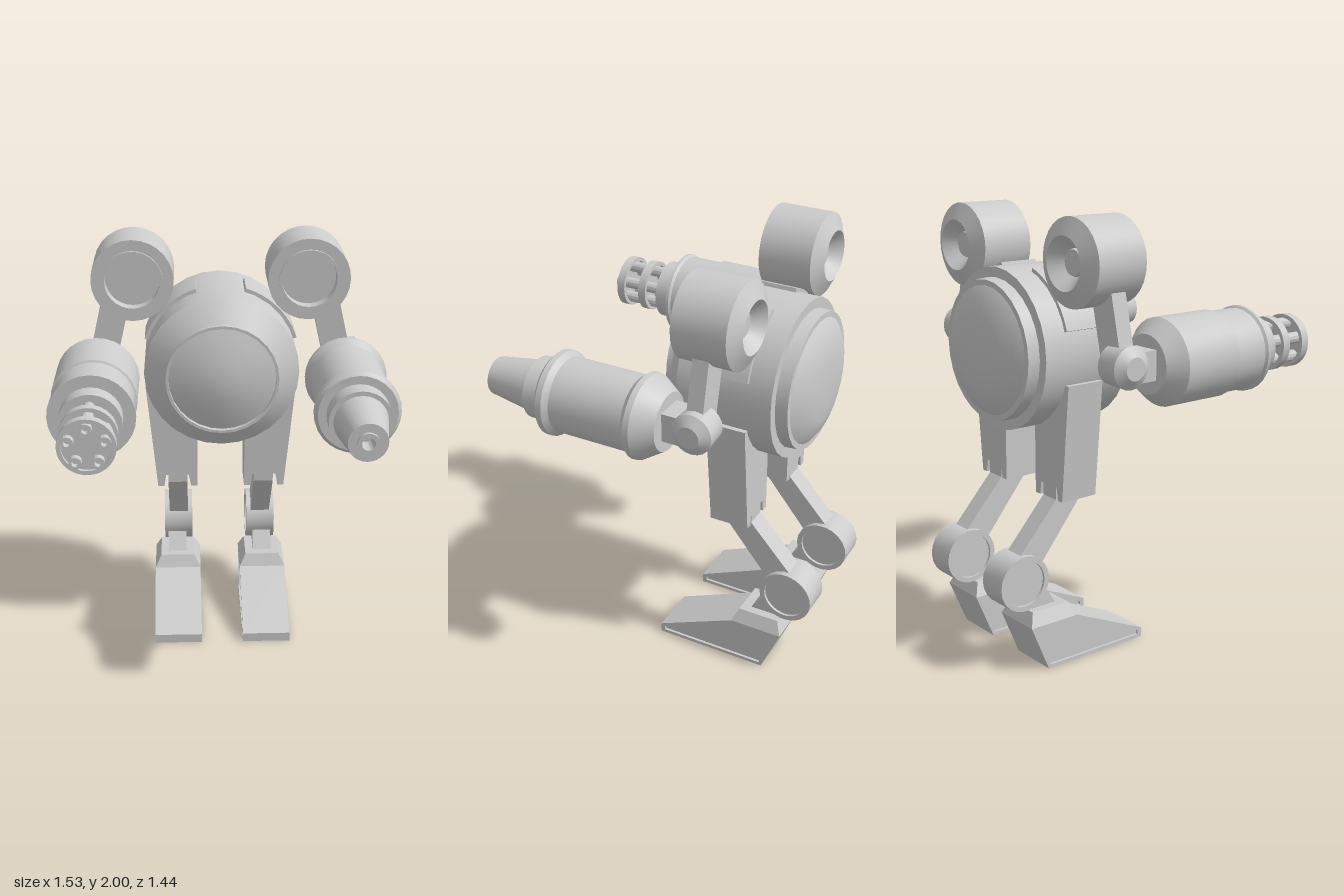
import * as THREE from 'three';
import { toCreasedNormals } from 'three/addons/utils/BufferGeometryUtils.js';

const grey = new THREE.MeshStandardMaterial({ color: 0xcccccc, side: THREE.DoubleSide });

export function createModel() {
  const model = new THREE.Group();

  const add = (name, geometry, x = 0, y = 0, z = 0, parent = model) => {
    const mesh = new THREE.Mesh(geometry, grey);
    mesh.name = name;
    mesh.position.set(x, y, z);
    parent.add(mesh);
    return mesh;
  };
  // Turned part from [radius, distance] pairs, axis along z (or x)
  const turned = (profile, axis = 'z', segments = 28) => {
    const g = new THREE.LatheGeometry(profile.map(p => new THREE.Vector2(...p)), segments);
    if (axis === 'z') g.rotateX(Math.PI / 2); else g.rotateZ(-Math.PI / 2);
    return toCreasedNormals(g, 0.4);
  };
  const shapeOf = pts => new THREE.Shape(pts.map(p => new THREE.Vector2(...p)));
  // Side outline of [z, y] pairs, extruded from x = a to x = b
  const sideSlab = (pts, a, b, hole) => {
    const shape = shapeOf(pts);
    if (hole) shape.holes.push(new THREE.Path(hole.map(p => new THREE.Vector2(...p))));
    return new THREE.ExtrudeGeometry(shape, { depth: b - a, bevelEnabled: false })
      .rotateY(-Math.PI / 2).translate(b, 0, 0);
  };
  // Box whose top face is scaled
  const taperedBox = (w, h, d, sx, sz) => {
    const g = new THREE.BoxGeometry(w, h, d).toNonIndexed(), p = g.attributes.position;
    for (let i = 0; i < p.count; i++)
      if (p.getY(i) > 0) p.setXYZ(i, p.getX(i) * sx, p.getY(i), p.getZ(i) * sz);
    g.computeVertexNormals();
    return g;
  };

  // Body drum with stepped back, domed rear cap and front window
  const bodyY = 1.4;
  add('body', turned([
    [0, -0.52], [0.36, -0.525], [0.36, -0.08], [0.26, 0], [0.26, 0.025],
    [0.247, 0.025], [0.247, 0.0], [0, 0]]), 0, bodyY);
  add('rearCollar', turned([[0, -0.58], [0.31, -0.58], [0.315, -0.51], [0, -0.51]]), 0, bodyY);
  add('rearDome', turned([
    [0, -0.64], [0.09, -0.638], [0.17, -0.632], [0.24, -0.61], [0.285, -0.58], [0, -0.575]]), 0, bodyY);
  add('frontWindow', turned([
    [0.247, 0.003], [0.18, 0.025], [0.085, 0.048], [0, 0.055]]), 0, bodyY);

  for (const s of [1, -1]) {
    const side = s > 0 ? 'left' : 'right';
    const span = (a, b) => s > 0 ? [a, b] : [-b, -a];

    // Curved armour panel on the upper corner of the body
    const mid = s > 0 ? Math.PI / 4 : 3 * Math.PI / 4, half = 0.47;
    const panel = new THREE.Shape();
    panel.absarc(0, 0, 0.376, mid - half, mid + half, false);
    panel.absarc(0, 0, 0.34, mid + half, mid - half, true);
    add(side + 'ShoulderPanel', toCreasedNormals(new THREE.ExtrudeGeometry(panel,
      { depth: 0.185, bevelEnabled: false, curveSegments: 6 }), 0.4), 0, bodyY, -0.415);

    // Leg
    const leg = new THREE.Group();
    leg.name = side + 'Leg';
    model.add(leg);
    const hip = [[0.115, 1.28], [0.115, 0.75], [0.148, 0.75], [0.158, 0.81],
      [0.27, 0.81], [0.28, 0.75], [0.31, 0.75], [0.36, 1.28]].map(([x, y]) => [x * s, y]);
    add('hip', new THREE.ExtrudeGeometry(shapeOf(hip), { depth: 0.185, bevelEnabled: false }),
      0, 0, -0.41, leg);
    add('thigh', sideSlab([[-0.26, 0.83], [-0.26, 0.755], [-0.54, 0.41], [-0.64, 0.49],
      [-0.405, 0.75], [-0.405, 0.83]], ...span(0.165, 0.26)), 0, 0, 0, leg);
    add('knee', turned([[0, -0.06], [0.103, -0.06], [0.103, -0.072], [0.127, -0.072],
      [0.127, 0.072], [0.103, 0.072], [0.103, 0.06], [0, 0.06]], 'x', 22),
      s * 0.214, 0.408, -0.595, leg);
    add('shin', sideSlab([[-0.48, 0.365], [-0.415, 0.265], [-0.54, 0.265], [-0.6, 0.4]],
      ...span(0.175, 0.268)), 0, 0, 0, leg);
    add('ankle', taperedBox(0.234, 0.06, 0.25, 0.74, 0.78), s * 0.22, 0.245, -0.475, leg);

    // Foot: core with a raised border on both sides
    const outline = [[-0.6, 0.215], [-0.35, 0.215], [0.03, 0.045], [0.03, 0], [-0.51, 0]];
    const inset = [[-0.573, 0.198], [-0.355, 0.198], [0.01, 0.034], [0.01, 0.016], [-0.498, 0.016]];
    add('footCore', sideSlab(outline, ...span(0.115, 0.325)), 0, 0, 0, leg);
    add('footInnerRim', sideSlab(outline, ...span(0.103, 0.115), inset), 0, 0, 0, leg);
    add('footOuterRim', sideSlab(outline, ...span(0.325, 0.337), inset), 0, 0, 0, leg);

    // Shoulder pod with recessed front and rear nozzle
    add(side + 'Pod', turned([
      [0, -0.42], [0.055, -0.42], [0.06, -0.405], [0.115, -0.47], [0.19, -0.432], [0.19, -0.185],
      [0.14, -0.185], [0.14, -0.173], [0.127, -0.173], [0.127, -0.23], [0, -0.23]]),
      s * 0.406, 1.81, 0);

    // Arm strut, elbow and wrist
    const strut = add(side + 'Strut', new THREE.BoxGeometry(0.13, 0.31, 0.075), s * 0.528, 1.53, -0.302);
    strut.rotation.z = s * 0.23;
    const elbow = [[0, 0.53], [0.088, 0.535], [0.093, 0.645], [0.05, 0.675], [0, 0.675]];
    add(side + 'Elbow', turned(s > 0 ? elbow : elbow.map(([r, d]) => [r, -d]).reverse(), 'x', 20),
      0, 1.395, -0.305);
    add(side + 'Wrist', new THREE.BoxGeometry(0.13, 0.13, 0.15), s * 0.575, 1.387, -0.21);
  }

  // Left cannon
  const gunY = 1.38, gunX = 0.573;
  add('cannon', turned([
    [0, -0.165], [0.13, -0.165], [0.188, -0.075], [0.19, -0.05], [0.168, -0.025], [0.168, 0.325],
    [0.19, 0.347], [0.19, 0.375], [0.175, 0.39], [0.138, 0.39], [0.138, 0.475],
    [0.118, 0.475], [0.085, 0.695], [0.047, 0.695], [0.047, 0.71], [0.028, 0.71],
    [0.028, 0.62], [0, 0.62]]), gunX, gunY);

  // Right rotary gun: housing, five barrels and two clamp rings
  const rotary = new THREE.Group();
  rotary.name = 'rotaryGun';
  rotary.position.set(-gunX, gunY, 0);
  model.add(rotary);
  add('housing', turned([
    [0, -0.165], [0.13, -0.165], [0.192, -0.09], [0.192, 0.2], [0.182, 0.205], [0.182, 0.365],
    [0.192, 0.375], [0.192, 0.39], [0.138, 0.39], [0.138, 0.475], [0, 0.475]]), 0, 0, 0, rotary);
  for (let i = 0; i < 5; i++) {
    const a = Math.PI / 2 + i * Math.PI * 2 / 5;
    add('barrel', turned([[0.027, 0.46], [0.027, 0.72], [0.015, 0.72], [0.015, 0.6], [0, 0.6]], 'z', 12),
      Math.cos(a) * 0.08, Math.sin(a) * 0.08, 0, rotary);
  }
  for (const z of [0.545, 0.665])
    add('clampRing', turned([[0.105, z], [0.123, z], [0.123, z + 0.04], [0.105, z + 0.04],
      [0.105, z + 0.025], [0, z + 0.025]]), 0, 0, 0, rotary);

  return model;
}
